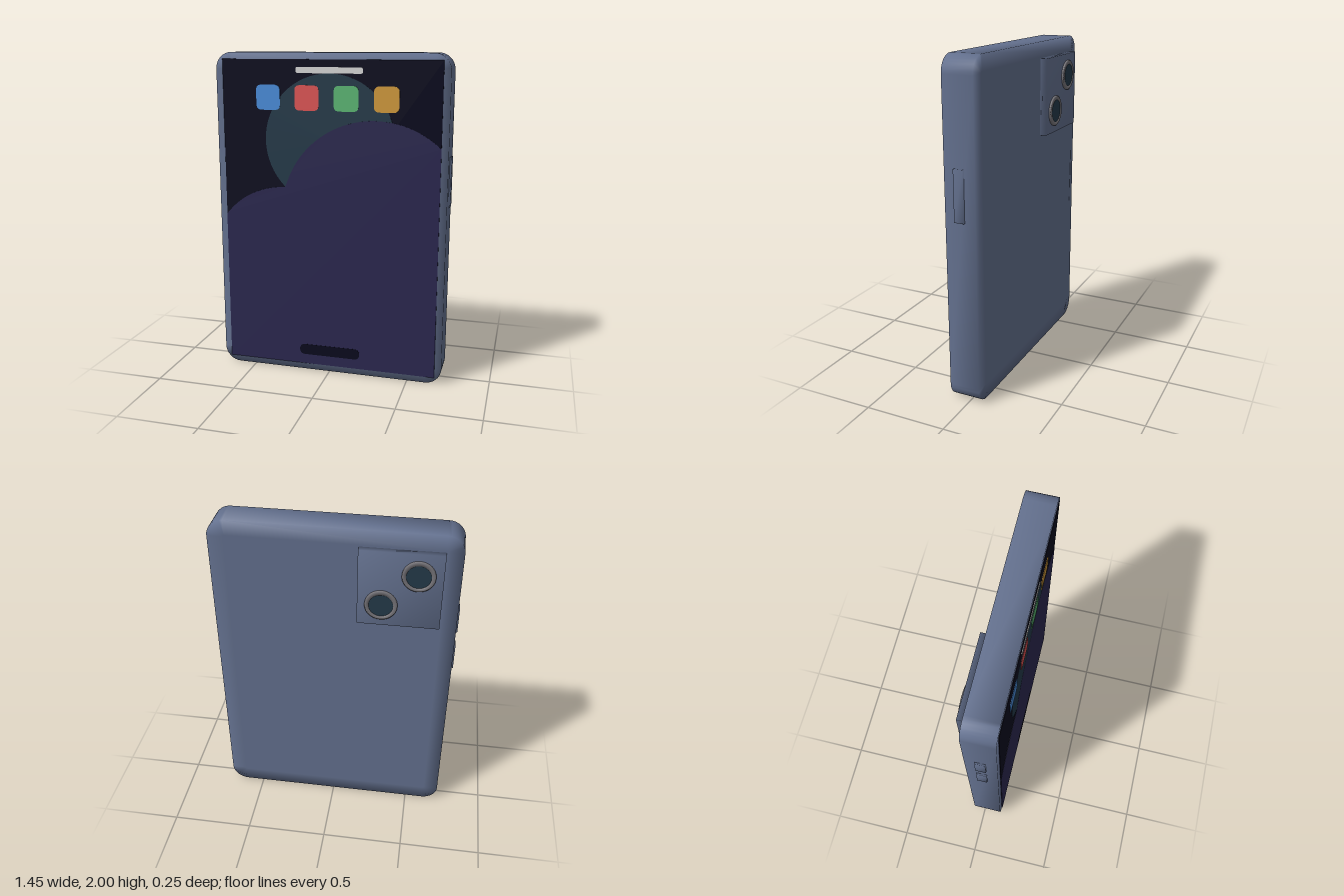
import * as THREE from 'three';
import { mergeVertices } from 'three/addons/utils/BufferGeometryUtils.js';

const mat = (name, color) => Object.assign(new THREE.MeshStandardMaterial({ color }), { name });

// Rounded rectangle outline, counter-clockwise, as [x, y] points
function roundedOutline(halfW, halfH, r, steps = 8) {
  const pts = [];
  [[1, 1], [-1, 1], [-1, -1], [1, -1]].forEach(([sx, sy], q) => {
    for (let i = 0; i <= steps; i++) {
      const a = (q + i / steps) * Math.PI / 2;
      pts.push([sx * (halfW - r) + r * Math.cos(a), sy * (halfH - r) + r * Math.sin(a)]);
    }
  });
  return pts;
}

// Slab with soft shading around its rim and flat centres
function slabGeometry(w, h, d, r, inset) {
  const outer = roundedOutline(w / 2, h / 2, r);
  const inner = roundedOutline(w / 2 - inset, h / 2 - inset, r - inset);
  const loops = [[inner, d / 2], [outer, d / 2], [outer, -d / 2], [inner, -d / 2]];
  const n = outer.length, pos = [], idx = [];
  for (const [pts, z] of loops) for (const [x, y] of pts) pos.push(x, y, z);
  pos.push(0, 0, d / 2, 0, 0, -d / 2);
  const front = 4 * n, back = front + 1;
  for (let i = 0; i < n; i++) {
    const j = (i + 1) % n;
    for (let k = 0; k < 3; k++) {
      const a = k * n + i, b = a + n, c = (k + 1) * n + j, e = k * n + j;
      idx.push(a, b, c, a, c, e);
    }
    idx.push(front, i, j, back, 3 * n + j, 3 * n + i);
  }
  const g = new THREE.BufferGeometry();
  g.setAttribute('position', new THREE.Float32BufferAttribute(pos, 3));
  g.setIndex(idx);
  g.computeVertexNormals();
  return g;
}

// Box whose corners share averaged normals
function softBox(w, h, d) {
  let g = new THREE.BoxGeometry(w, h, d);
  g.deleteAttribute('normal');
  g.deleteAttribute('uv');
  g = mergeVertices(g);
  g.computeVertexNormals();
  return g;
}

export function createModel() {
  const group = new THREE.Group();
  const body = mat('slate blue', 0x64718f);
  const navy = mat('midnight navy', 0x0a0a1e);
  const teal = mat('deep teal', 0x243a4a);
  const purple = mat('dusk purple', 0x2b2850);
  const white = mat('pale grey', 0xdadada);
  const metal = mat('lens metal', 0x77757a);
  const iconMats = [mat('blue', 0x4a8edd), mat('red', 0xe05555), mat('green', 0x5cb874), mat('orange', 0xd39b3b)];

  const add = (name, geometry, material, x = 0, y = 0, z = 0) => {
    const m = new THREE.Mesh(geometry, material);
    m.name = name;
    m.position.set(x, y, z);
    group.add(m);
    return m;
  };
  // Thin plate cut from an outline, from z to z + depth
  const plate = (name, pts, material, x, y, z, depth) => {
    const shape = new THREE.Shape(pts.map(([px, py]) => new THREE.Vector2(px, py)));
    return add(name, new THREE.ExtrudeGeometry(shape, { depth, bevelEnabled: false }), material, x, y, z);
  };

  // Body and screen
  add('body', slabGeometry(1.425, 2, 0.185, 0.1, 0.09), body, 0, 1, 0.0225);
  add('screen', new THREE.BoxGeometry(1.34, 1.92, 0.006), navy, 0, 1, 0.116);

  // Wallpaper: a disc behind two rolling hills
  const disc = new THREE.CylinderGeometry(0.4, 0.4, 0.004, 64).rotateX(Math.PI / 2);
  add('wallpaperDisc', disc, teal, 0, 1.48, 0.118);
  const arch = (x, cx, cy, r) => cy + Math.sqrt(Math.max(0, r * r - (x - cx) ** 2));
  const hills = [[-0.67, 0.04], [0.67, 0.04]];
  for (let i = 0; i <= 100; i++) {
    const x = 0.67 - 1.34 * i / 100;
    const right = x > -0.3 ? arch(x, 0.28, 1.03, 0.58) : 0;
    hills.push([x, Math.max(right, arch(x, -0.28, 0.695, 0.495))]);
  }
  plate('wallpaperHills', hills, purple, 0, 0, 0.117, 0.0042);

  // Screen furniture
  plate('statusBar', roundedOutline(0.205, 0.018, 0.012, 3), white, 0, 1.898, 0.118, 0.005);
  plate('homeBar', roundedOutline(0.195, 0.034, 0.03, 4), navy, 0, 0.137, 0.118, 0.005);
  iconMats.forEach((m, i) =>
    plate('appIcon', roundedOutline(0.075, 0.075, 0.028, 3), m, -0.38 + 0.242 * i, 1.735, 0.118, 0.005));

  // Side buttons
  add('powerButton', softBox(0.03, 0.3, 0.06), body, 0.708, 1.255, 0.025);
  for (const y of [1.43, 1.17]) add('volumeButton', softBox(0.03, 0.16, 0.06), body, -0.708, y, 0.02);

  // Rear camera block with two lenses on a diagonal
  add('cameraPlate', softBox(0.475, 0.47, 0.05), body, -0.378, 1.665, -0.086);
  for (const [x, y] of [[-0.478, 1.765], [-0.277, 1.565]]) {
    const rim = new THREE.LatheGeometry(
      [[0.094, 0], [0.094, 0.018], [0.088, 0.022], [0.07, 0.022], [0.07, 0.008]].map(p => new THREE.Vector2(...p)), 40);
    rim.rotateX(-Math.PI / 2);
    const ring = add('lensRing', rim, metal, x, y, -0.101);
    ring.material.side = THREE.DoubleSide;
    add('lensGlass', new THREE.CylinderGeometry(0.071, 0.071, 0.02, 40).rotateX(Math.PI / 2), teal, x, y, -0.11);
  }
  return group;
}
